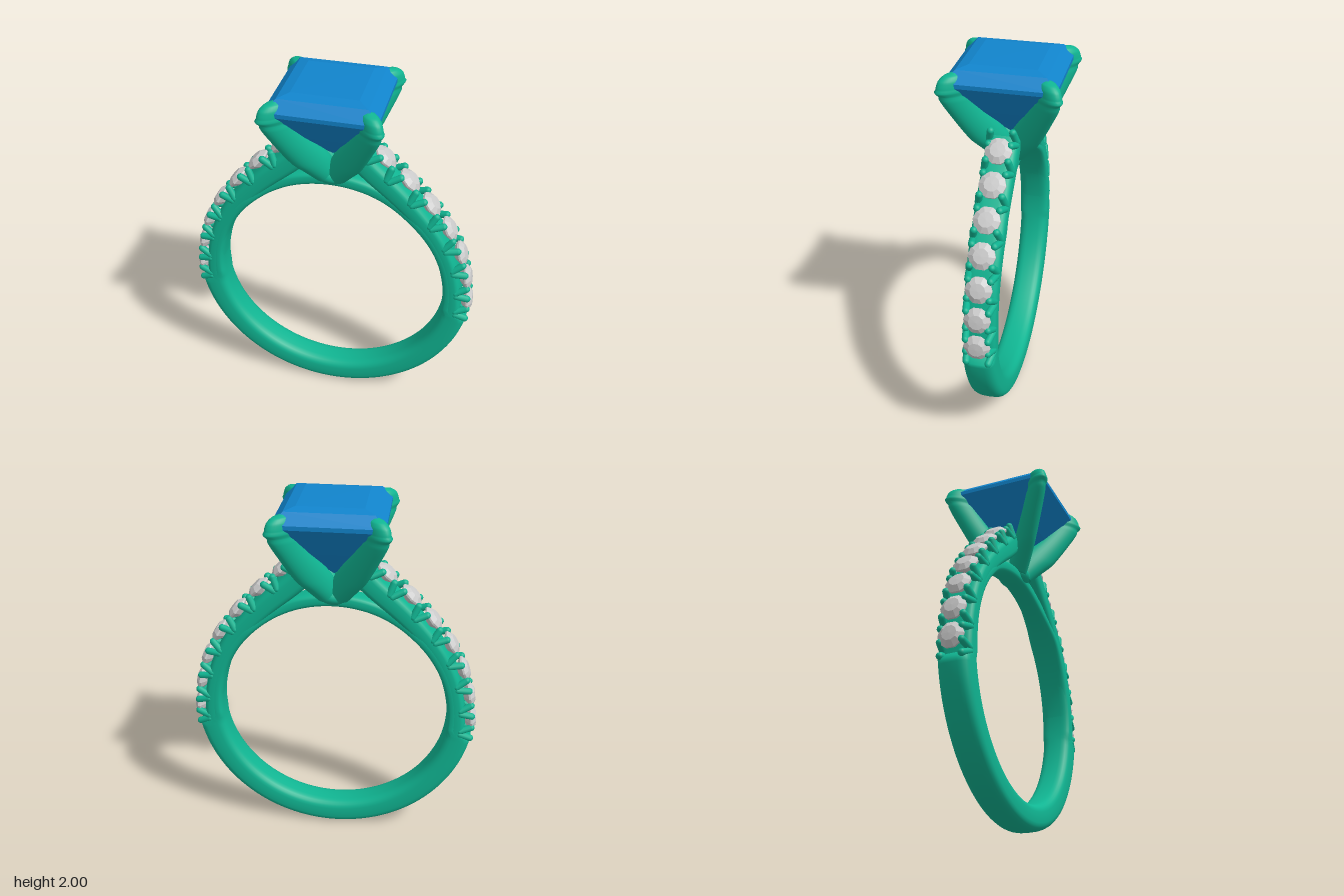
import * as THREE from 'three';

const metal = new THREE.MeshStandardMaterial({ color: 0x10b592 });
const blue = new THREE.MeshStandardMaterial({ color: 0x1184cc, flatShading: true });
const clear = new THREE.MeshStandardMaterial({ color: 0xcccccc, flatShading: true });
const V = (x, y, z = 0) => new THREE.Vector3(x, y, z);
const CY = 0.775; // height of the finger hole's centre

// Superellipse ring around c: half size a along u, b along v
function ring(c, u, v, a, b, n = 2, count = 28) {
  const p = (t) => Math.sign(t) * Math.abs(t) ** (2 / n);
  return Array.from({ length: count }, (_, i) => {
    const w = (i / count) * Math.PI * 2;
    return c.clone().addScaledVector(u, a * p(Math.cos(w))).addScaledVector(v, b * p(Math.sin(w)));
  });
}

// Skin over a row of rings, either joined end to end or capped
function loft(rings, closed = false) {
  const m = rings[0].length, k = rings.length, pts = rings.flat(), idx = [];
  for (let i = 0; i < (closed ? k : k - 1); i++) {
    for (let j = 0; j < m; j++) {
      const j2 = (j + 1) % m, r0 = i * m, r1 = ((i + 1) % k) * m;
      idx.push(r0 + j, r0 + j2, r1 + j, r0 + j2, r1 + j2, r1 + j);
    }
  }
  if (!closed) {
    for (const [i, flip] of [[0, true], [k - 1, false]]) {
      const c = rings[i].reduce((s, p) => s.add(p), V(0, 0)).divideScalar(m);
      const base = pts.length;
      pts.push(c, ...rings[i]);
      for (let j = 0; j < m; j++) {
        const a = base + 1 + j, b = base + 1 + ((j + 1) % m);
        idx.push(base, flip ? b : a, flip ? a : b);
      }
    }
  }
  const g = new THREE.BufferGeometry().setFromPoints(pts);
  g.setIndex(idx);
  g.computeVertexNormals();
  return g;
}

function add(parent, name, geometry, material) {
  const mesh = new THREE.Mesh(geometry, material);
  mesh.name = name;
  parent.add(mesh);
  return mesh;
}

// Finger band: thick below, thin rail across the top
function bandGeometry() {
  const rings = [];
  for (let i = 0; i < 180; i++) {
    const t = (i / 180) * Math.PI * 2, s = Math.sin(t);
    const thin = THREE.MathUtils.smoothstep(s, -0.17, -0.11);
    const outer = THREE.MathUtils.lerp(0.775 + 0.012 * (1 - Math.abs(s)), 0.705, thin);
    const half = 0.085 - 0.025 * THREE.MathUtils.smoothstep(s, 0.7, 0.97);
    const u = V(Math.cos(t), s), mid = (0.63 + outer) / 2;
    rings.push(ring(V(u.x * mid, CY + u.y * mid), u, V(0, 0, -1), (outer - 0.63) / 2, half, 3.2));
  }
  return loft(rings, true);
}

// One shoulder (on +x) with its row of stones and claws
function shoulder() {
  const g = new THREE.Group();
  const seats = [[0.77, 0.75], [0.752, 0.905], [0.71, 1.06], [0.635, 1.21], [0.53, 1.35], [0.41, 1.48], [0.28, 1.6]];
  const curve = new THREE.CatmullRomCurve3([[0.768, 0.66], ...seats, [0.215, 1.665]].map(([x, y]) => V(x, y)));
  const frame = (t) => {
    const p = curve.getPoint(t), d = curve.getTangent(t);
    return { p, d, n: V(d.y, -d.x) };
  };

  // Supporting beam under the stones
  const rings = [];
  for (let i = 0; i <= 60; i++) {
    const { p, n } = frame(i / 60);
    const low = 0.135 + 0.025 * THREE.MathUtils.smoothstep(i / 60, 0.5, 0.9), high = 0.035;
    rings.push(ring(p.addScaledVector(n, -(low + high) / 2), n, V(0, 0, -1), (low - high) / 2, 0.085, 3.5));
  }
  add(g, 'shoulderBeam', loft(rings), metal);

  // Round stones, facing outward
  const profile = [[0, -0.06], [0.07, -0.006], [0.07, 0.004], [0.04, 0.024], [0, 0.026]].map(([r, y]) => new THREE.Vector2(r, y));
  const stoneGeo = new THREE.LatheGeometry(profile, 10);
  seats.forEach((_, i) => {
    const { p, n } = frame((i + 1) / 8);
    const s = add(g, 'sideStone', stoneGeo, clear);
    s.position.copy(p);
    s.quaternion.setFromUnitVectors(V(0, 1), n);
  });

  // Splayed claws in the gaps, a pair on each edge
  const clawGeo = new THREE.CapsuleGeometry(0.019, 0.065, 5, 10);
  for (let i = 0; i <= 7; i++) {
    const t = i === 0 ? 0.035 : i === 7 ? 0.965 : (i + 0.5) / 8;
    const { p, d, n } = frame(t);
    for (const z of [-1, 1]) {
      for (const lean of [-1, 1]) {
        const c = add(g, 'stoneClaw', clawGeo, metal);
        c.position.copy(p).addScaledVector(n, -0.03).addScaledVector(d, lean * 0.022);
        c.position.z = z * 0.063;
        const axis = n.clone().addScaledVector(d, lean * 0.4).add(V(0, 0, -z * 0.2)).normalize();
        c.quaternion.setFromUnitVectors(V(0, 1), axis);
      }
    }
  }
  return g;
}

// Square centre stone
function centreStoneGeometry() {
  const profile = [[0, 1.58], [0.15, 1.74], [0.28, 1.91], [0.28, 1.932], [0.225, 1.985], [0.17, 1.998], [0, 2]];
  const pts = profile.map(([h, y]) => new THREE.Vector2(h * Math.SQRT2, y));
  return new THREE.LatheGeometry(pts, 4).rotateY(Math.PI / 4);
}

// Corner prong: height, distance out, half depth, half width
function prongGeometry() {
  const keys = [
    [1.45, 0.035, 0.065, 0.05], [1.52, 0.08, 0.09, 0.055], [1.6, 0.14, 0.108, 0.055],
    [1.75, 0.255, 0.095, 0.05], [1.85, 0.32, 0.09, 0.047], [1.9, 0.335, 0.09, 0.047],
    [1.94, 0.332, 0.079, 0.043], [1.963, 0.327, 0.053, 0.031], [1.974, 0.322, 0.012, 0.01],
  ];
  const path = new THREE.CatmullRomCurve3(keys.map(([y, r]) => V(r, y)));
  const size = new THREE.CatmullRomCurve3(keys.map(([, , a, b]) => V(a, b)));
  const rings = [];
  for (let i = 0; i <= 40; i++) {
    const s = size.getPoint(i / 40);
    rings.push(ring(path.getPoint(i / 40), V(1, 0), V(0, 0, -1), s.x, s.y));
  }
  return loft(rings);
}

export function createModel() {
  const model = new THREE.Group();
  model.name = 'ring';
  add(model, 'band', bandGeometry(), metal);

  ['leftShoulder', 'rightShoulder'].forEach((name, i) => {
    const s = shoulder();
    s.name = name;
    s.rotation.y = i * Math.PI;
    model.add(s);
  });

  const head = new THREE.Group();
  head.name = 'head';
  model.add(head);
  add(head, 'centreStone', centreStoneGeometry(), blue);
  const prongGeo = prongGeometry();
  for (let i = 0; i < 4; i++) {
    add(head, 'prong', prongGeo, metal).rotation.y = Math.PI / 4 + (i * Math.PI) / 2;
  }
  // Foot joining the prongs to the rail
  const foot = add(head, 'headFoot', new THREE.SphereGeometry(0.09, 24, 16), metal);
  foot.scale.y = 0.6;
  foot.position.y = 1.465;
  return model;
}
